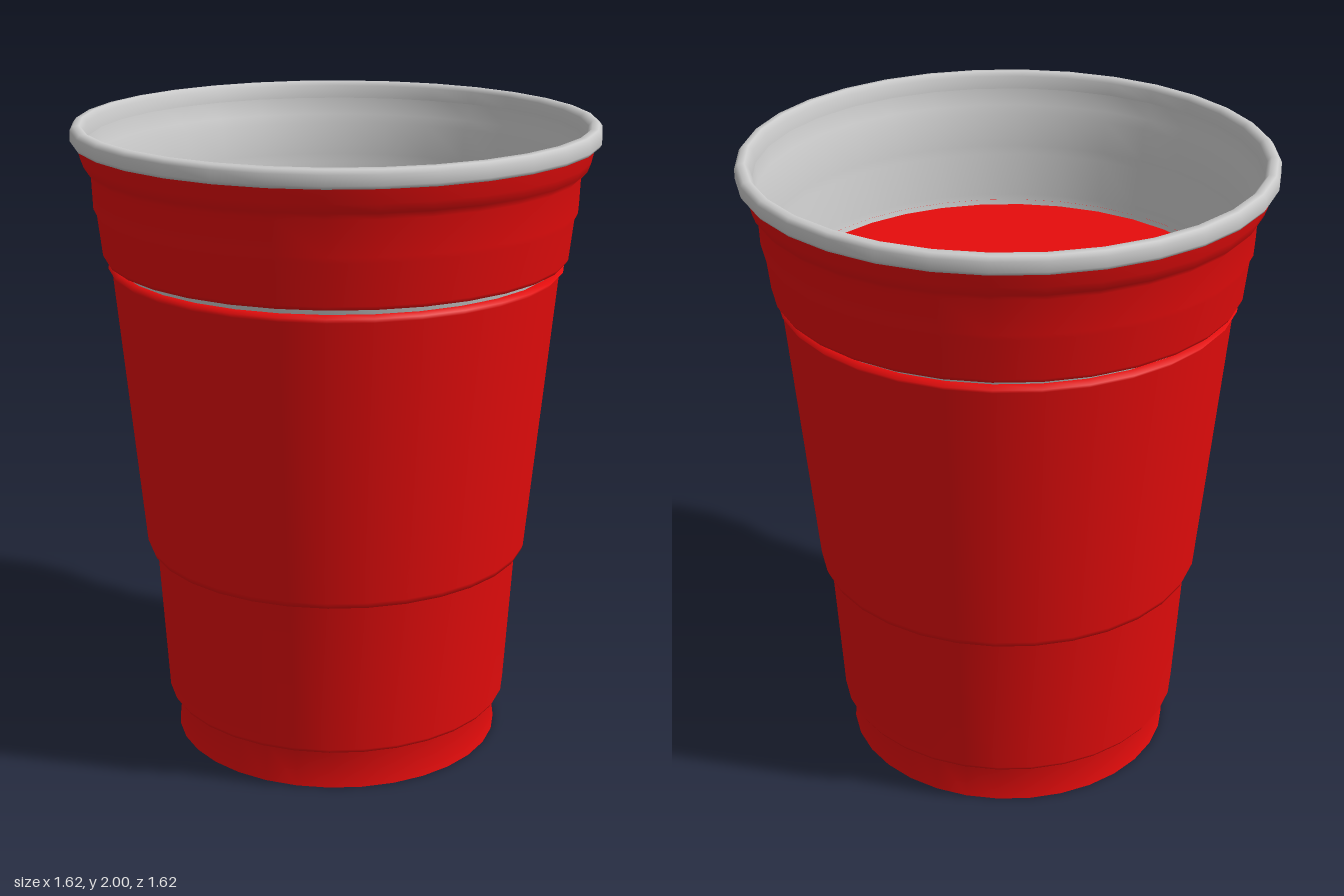
import * as THREE from 'three';

const SIDES = 32;
const red = new THREE.MeshStandardMaterial({ color: 0xe60c0c, side: THREE.DoubleSide });
const grey = new THREE.MeshStandardMaterial({ color: 0xcccccc, side: THREE.DoubleSide });

// Revolve a list of [radius, height] pairs around the y axis.
function turned(name, profile, material) {
  const points = profile.map(([r, y]) => new THREE.Vector2(r, y));
  const mesh = new THREE.Mesh(new THREE.LatheGeometry(points, SIDES), material);
  mesh.name = name;
  return mesh;
}

export function createModel() {
  const cup = new THREE.Group();
  cup.name = 'cup';

  // Stepped lower body, closed on top by the drink surface
  cup.add(turned('body', [
    [0.525, 0], [0.51, 0.12], [0.545, 0.132], [0.553, 0.145],
    [0.583, 0.635], [0.605, 0.642], [0.612, 0.66],
    [0.695, 1.545], [0.708, 1.56], [0.68, 1.567], [0, 1.567],
  ], red));

  // Foot ring and recessed base
  cup.add(turned('footRing', [[0.475, 0.045], [0.5, 0], [0.525, 0]], red));
  cup.add(turned('base', [[0, 0.045], [0.475, 0.045]], red));

  // Ribbed upper band, separated from the body by a narrow gap
  cup.add(turned('upperBand', [
    [0.685, 1.582], [0.715, 1.588], [0.722, 1.6], [0.736, 1.725],
    [0.746, 1.745], [0.75, 1.85], [0.77, 1.872], [0.78, 1.9], [0.79, 1.945],
  ], red));

  // Ribbed inner lining
  cup.add(turned('lining', [
    [0.765, 1.985], [0.755, 1.89], [0.725, 1.865], [0.72, 1.76],
    [0.706, 1.735], [0.69, 1.6], [0.68, 1.56],
  ], grey));

  // Rolled lip
  cup.add(turned('lip', [
    [0.765, 1.945], [0.803, 1.945], [0.809, 1.955], [0.808, 1.985],
    [0.798, 1.998], [0.778, 2], [0.765, 1.985], [0.76, 1.945],
  ], grey));

  return cup;
}
